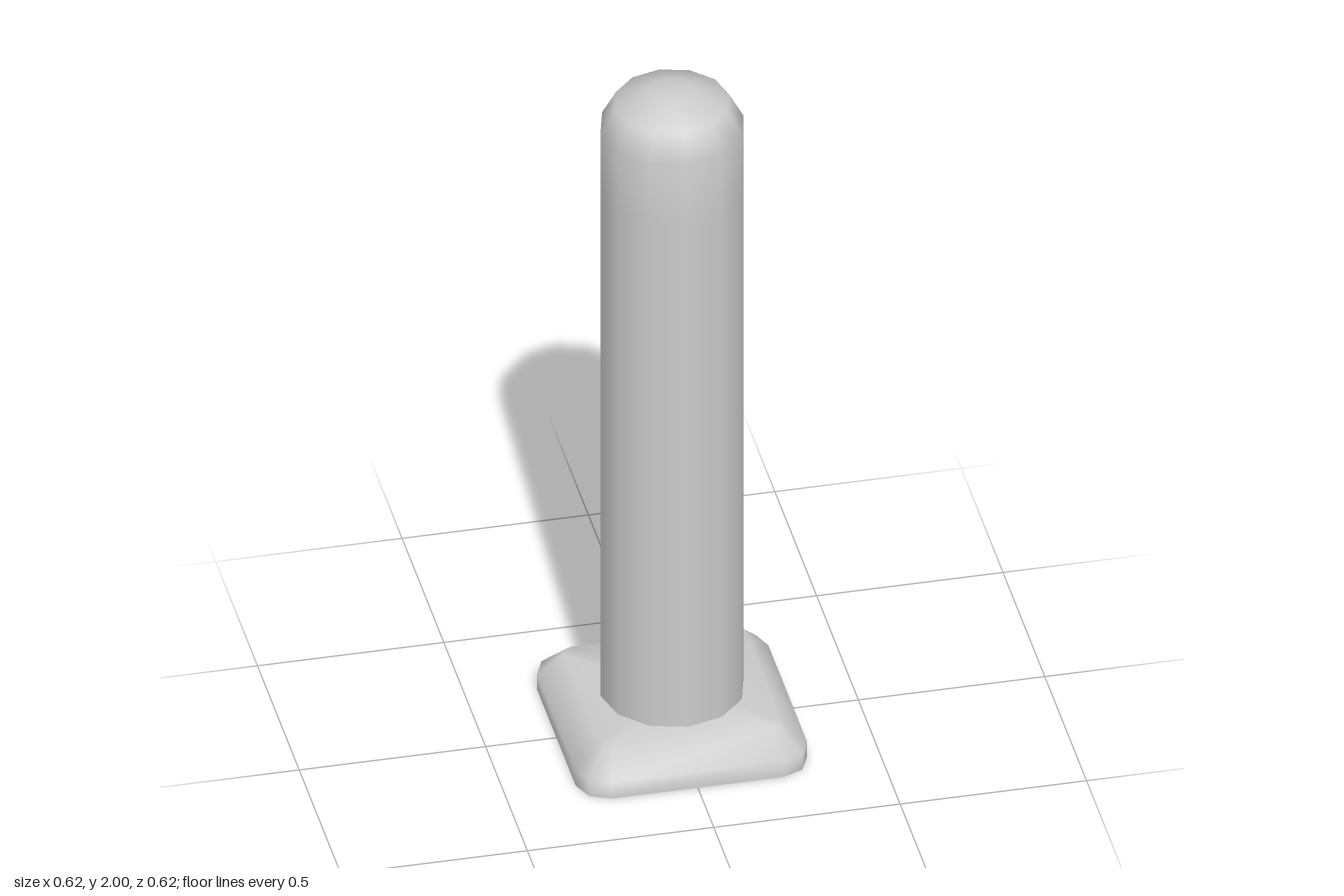
import * as THREE from 'three';

const lightGrey = new THREE.MeshStandardMaterial({ color: 0xcccccc });
lightGrey.name = 'lightGrey';

// Square outline with chamfered corners: half width, flat half length, corner point
function outline(half, flat, corner, y) {
  const points = [];
  for (let q = 0; q < 4; q++) {
    const c = Math.round(Math.cos(q * Math.PI / 2)), s = Math.round(Math.sin(q * Math.PI / 2));
    for (const [x, z] of [[half, flat], [corner, corner], [flat, half]]) {
      points.push([x * c - z * s, y, x * s + z * c]);
    }
  }
  return points;
}

// Smooth skin through matching outlines, listed from bottom to top
function skin(rings, capTop) {
  const n = rings[0].length, index = [];
  for (let r = 0; r < rings.length - 1; r++) {
    for (let i = 0; i < n; i++) {
      const a = r * n + i, b = r * n + (i + 1) % n;
      index.push(a, a + n, b, b, a + n, b + n);
    }
  }
  if (capTop) {
    const o = (rings.length - 1) * n;
    for (let i = 1; i < n - 1; i++) index.push(o, o + i + 1, o + i);
  }
  const geometry = new THREE.BufferGeometry();
  geometry.setAttribute('position', new THREE.Float32BufferAttribute(rings.flat(2), 3));
  geometry.setIndex(index);
  geometry.computeVertexNormals();
  return geometry;
}

export function createModel() {
  const model = new THREE.Group();
  model.name = 'bollard';
  const add = (name, geometry) => {
    const mesh = new THREE.Mesh(geometry, lightGrey);
    mesh.name = name;
    model.add(mesh);
    return mesh;
  };

  // Bevelled foot plate
  add('basePlate', skin([
    outline(0.31, 0.23, 0.286, 0),
    outline(0.31, 0.23, 0.286, 0.05),
    outline(0.242, 0.215, 0.234, 0.115),
    outline(0.1, 0.08, 0.095, 0.115),
  ], true));

  // Flat underside
  const bottom = outline(0.31, 0.23, 0.286, 0).map(([x, , z]) => new THREE.Vector2(x, z));
  add('baseUnderside', new THREE.ShapeGeometry(new THREE.Shape(bottom)).rotateX(Math.PI / 2));

  // Twelve-sided post with a rounded cap
  const profile = [[0.192, 0.11], [0.192, 1.7], [0.192, 1.89], [0.153, 1.963], [0.057, 2], [0, 2]];
  add('post', new THREE.LatheGeometry(profile.map(([r, y]) => new THREE.Vector2(r, y)), 12));

  return model;
}
